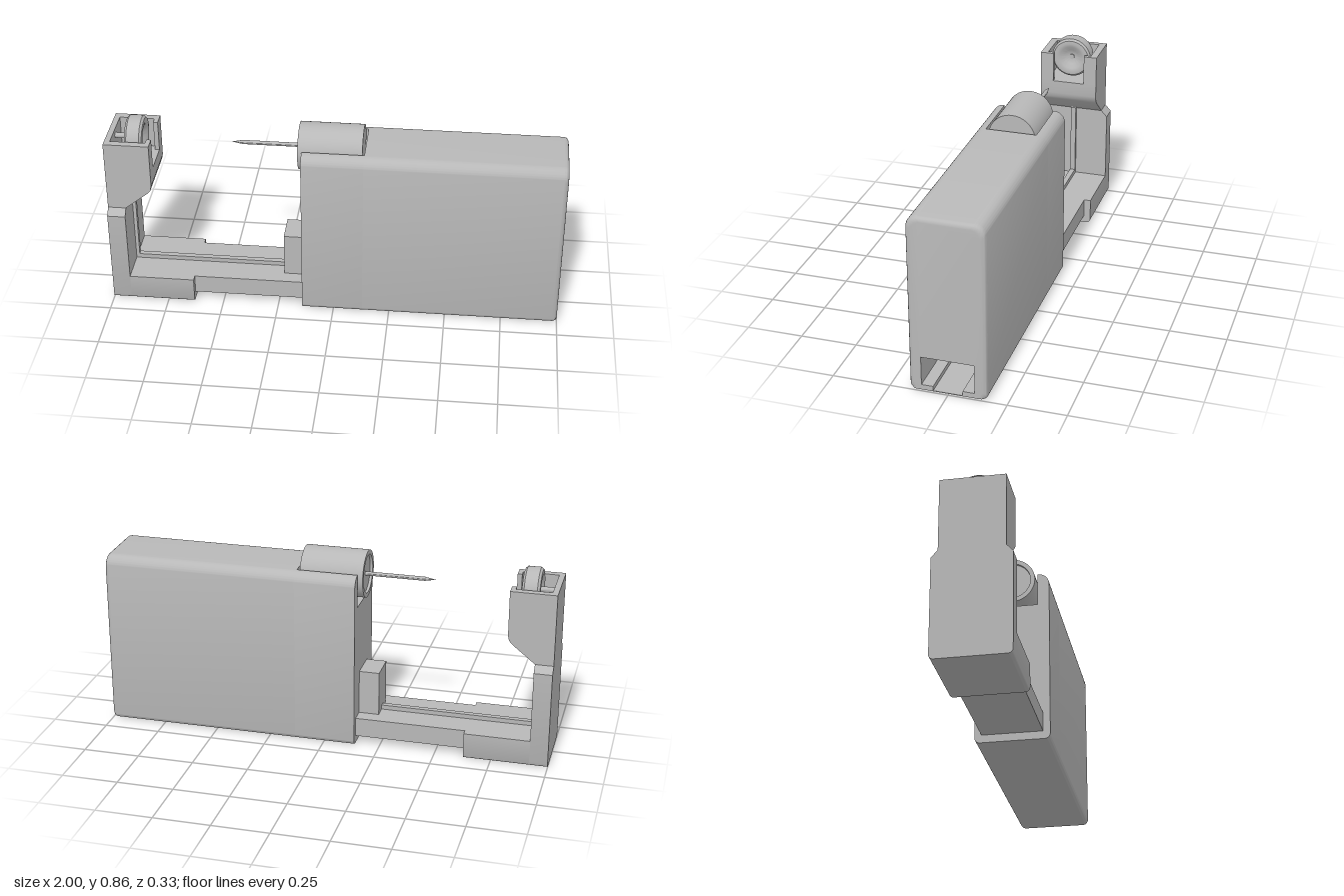
import * as THREE from 'three';
import { toCreasedNormals } from 'three/addons/utils/BufferGeometryUtils.js';

const grey = new THREE.MeshStandardMaterial({ color: 0xb8b8b8 });
grey.name = 'plain grey';

export function createModel() {
  const model = new THREE.Group();
  model.name = 'slidingClamp';

  const add = (name, geo, crease = 0.6) => {
    const mesh = new THREE.Mesh(toCreasedNormals(geo, crease), grey);
    mesh.name = name;
    model.add(mesh);
    return mesh;
  };
  // box from min and max corners
  const box = (name, x0, x1, y0, y1, z0, z1) => {
    const g = new THREE.BoxGeometry(x1 - x0, y1 - y0, z1 - z0);
    add(name, g.translate((x0 + x1) / 2, (y0 + y1) / 2, (z0 + z1) / 2));
  };
  // z-y cross-section extruded along x
  const alongX = (shape, x0, x1) =>
    new THREE.ExtrudeGeometry(shape, { depth: x1 - x0, bevelEnabled: false, curveSegments: 8 })
      .rotateY(Math.PI / 2).translate(x0, 0, 0);
  // solid of revolution about an x axis; points are [radius, x]
  const turned = (name, pts, y) => add(name,
    new THREE.LatheGeometry(pts.map(([r, x]) => new THREE.Vector2(r, x)), 48)
      .rotateZ(-Math.PI / 2).translate(0, y, 0));
  const polygon = (pts) => new THREE.Shape(pts.map(([x, y]) => new THREE.Vector2(x, y)));

  // Housing cross-section, optionally with the motor pocket cut in the top
  const W = 0.165, H = 0.79;
  const housingShape = (pocket) => {
    const R = 0.05, r = 0.025, s = new THREE.Shape();
    s.moveTo(-W + r, 0);
    s.lineTo(W - r, 0);
    s.absarc(W - r, r, r, -Math.PI / 2, 0);
    s.lineTo(W, H - R);
    s.absarc(W - R, H - R, R, 0, Math.PI / 2);
    if (pocket) {
      s.lineTo(0.113, H);
      s.lineTo(0.113, 0.64);
      s.lineTo(-0.113, 0.64);
      s.lineTo(-0.113, H);
    }
    s.lineTo(-W + R, H);
    s.absarc(-W + R, H - R, R, Math.PI / 2, Math.PI);
    s.lineTo(-W, r);
    s.absarc(-W + r, r, r, Math.PI, Math.PI * 1.5);
    return s;
  };
  add('housingFront', alongX(housingShape(true), -0.14, 0.13));

  // Rear housing with the rail tunnel and a rounded end
  const rear = housingShape(false);
  rear.holes.push(polygon([[-0.113, 0.16], [0.113, 0.16], [0.113, 0.03], [0.063, 0.03],
    [0.063, 0.01], [-0.063, 0.01], [-0.063, 0.03], [-0.113, 0.03]]));
  const rearGeo = new THREE.ExtrudeGeometry(rear,
    { depth: 1, steps: 5, bevelEnabled: false, curveSegments: 8 });
  const p = rearGeo.attributes.position, endR = 0.02;
  for (let i = 0; i < p.count; i++) {
    const level = Math.round(p.getZ(i) * 5);
    const a = ((level - 1) / 4) * Math.PI / 2;
    p.setZ(i, level === 0 ? 0.13 : 1 - endR + endR * Math.sin(a));
    const x = p.getX(i), y = p.getY(i);
    const outer = Math.abs(x) > 0.12 || y > 0.2 || y < 0.005;
    if (level === 0 || !outer) continue;
    const inset = endR * (1 - Math.cos(a));
    p.setX(i, x * (1 - inset / W));
    const ny = H / 2 + (y - H / 2) * (1 - inset / (H / 2));
    p.setY(i, y < 0.005 ? Math.min(ny, 0.007) : ny);
  }
  add('housingRear', rearGeo.rotateY(Math.PI / 2));

  // Motor with a dished face, and its needle
  turned('motor', [[0, -0.148], [0.085, -0.148], [0.085, -0.16], [0.105, -0.16],
    [0.105, 0.12], [0, 0.12]], 0.758);
  turned('needle', [[0, -0.46], [0.009, -0.41], [0.009, -0.145]], 0.758);

  // Slide rail, its centre rib and the stop block
  box('rail', -0.64, -0.13, 0.035, 0.12, -0.134, 0.134);
  box('railRib', -0.91, -0.14, 0.11, 0.14, -0.012, 0.012);
  box('columnRib', -0.93, -0.905, 0.11, 0.475, -0.012, 0.012);
  box('stopBlock', -0.23, -0.135, 0.1, 0.32, -0.07, 0.07);

  // Foot and column, rounded along the lower edges
  const footShape = (top) => {
    const r = 0.02, s = new THREE.Shape();
    s.moveTo(-W + r, 0);
    s.lineTo(W - r, 0);
    s.absarc(W - r, r, r, -Math.PI / 2, 0);
    for (const [x, y] of top) s.lineTo(x, y);
    s.lineTo(-W, r);
    s.absarc(-W + r, r, r, Math.PI, Math.PI * 1.5);
    return s;
  };
  add('foot', alongX(footShape([[W, 0.12], [-W, 0.12]]), -0.92, -0.63));
  add('column', alongX(footShape([[W, 0.44], [0.137, 0.47], [-0.137, 0.47], [-W, 0.44]]),
    -1, -0.92), 0.4);

  // Head: solid base, then the walls around the pulley pocket
  const headBase = polygon([[-1, 0.46], [-0.92, 0.47], [-0.82, 0.55], [-0.805, 0.567],
    [-0.8, 0.59], [-0.8, 0.65], [-1, 0.65]]);
  add('headBase', new THREE.ExtrudeGeometry(headBase, { depth: 0.274, bevelEnabled: false })
    .translate(0, 0, -0.137));
  box('headBackWall', -1, -0.975, 0.65, 0.79, -0.137, 0.137);
  for (const s of [-1, 1]) {
    const span = (a, b) => (s > 0 ? [a, b] : [-b, -a]);
    box('headSideWall', -0.975, -0.8, 0.65, 0.79, ...span(0.105, 0.137));
    box('headLip', -0.82, -0.8, 0.65, 0.79, ...span(0.075, 0.105));
  }

  // Pulley wheel with dished faces, on a short axle
  const half = [[0, 0.015], [0.018, 0.015], [0.035, 0.022], [0.055, 0.036], [0.07, 0.04],
    [0.085, 0.038], [0.094, 0.028]];
  const wheel = [...half.map(([r, x]) => [r, -x]), ...half.slice().reverse()];
  turned('pulley', wheel.map(([r, x]) => [r, x - 0.88]), 0.76);
  turned('axle', [[0, -0.98], [0.012, -0.98], [0.012, -0.86], [0, -0.86]], 0.76);

  return model;
}
